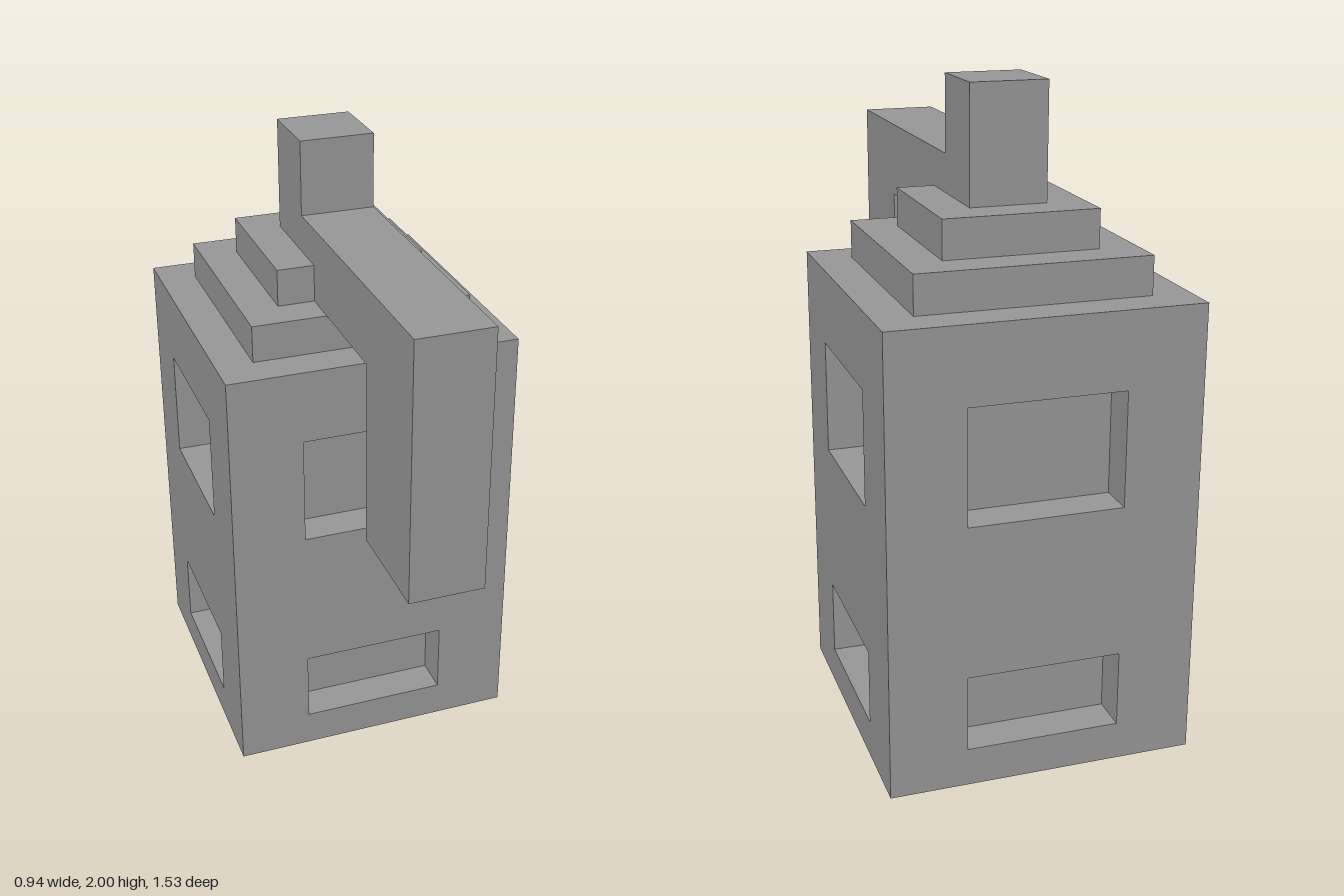
import * as THREE from 'three';
import { mergeGeometries } from 'three/addons/utils/BufferGeometryUtils.js';

const U = 2 / 17; // block size: the model is 17 blocks tall
const grey = new THREE.MeshStandardMaterial({ color: 0x999999 });
grey.name = 'grey';

// Flat face, turned and then moved into place
function plane(w, h, rx, ry, x, y, z) {
  return new THREE.PlaneGeometry(w, h).rotateX(rx).rotateY(ry).translate(x, y, z);
}

// One wall facing +z, with two recessed windows, one block deep
function wall() {
  const q = Math.PI / 2;
  const shape = new THREE.Shape([[-4, 0], [4, 0], [4, 12], [-4, 12]].map(p => new THREE.Vector2(...p)));
  const recesses = [];
  for (const [lo, hi] of [[1, 3], [7, 10]]) {
    const h = hi - lo, mid = (lo + hi) / 2;
    shape.holes.push(new THREE.Path([[-2, lo], [-2, hi], [2, hi], [2, lo]].map(p => new THREE.Vector2(...p))));
    recesses.push(
      plane(4, h, 0, 0, 0, mid, 3),        // back
      plane(4, 1, -q, 0, 0, lo, 3.5),      // sill
      plane(4, 1, q, 0, 0, hi, 3.5),       // lintel
      plane(1, h, 0, q, -2, mid, 3.5),     // jambs
      plane(1, h, 0, -q, 2, mid, 3.5));
  }
  return mergeGeometries([new THREE.ShapeGeometry(shape).translate(0, 0, 4), ...recesses]);
}

export function createModel() {
  const model = new THREE.Group();
  model.name = 'blockTower';
  const add = (name, geometry, z = 0) => {
    const mesh = new THREE.Mesh(geometry.translate(0, 0, z).scale(U, U, U), grey);
    mesh.name = name;
    model.add(mesh);
  };

  // Body: four windowed walls, top and base
  const faces = [0, 1, 2, 3].map(i => wall().rotateY(i * Math.PI / 2));
  faces.push(plane(8, 8, -Math.PI / 2, 0, 0, 12, 0), plane(8, 8, Math.PI / 2, 0, 0, 0, 0));
  add('body', mergeGeometries(faces), -2.5);

  // Stepped roof
  add('lowerRoofStep', new THREE.BoxGeometry(6, 1, 6).translate(0, 12.5, 0), -2.5);
  add('upperRoofStep', new THREE.BoxGeometry(4, 1, 4).translate(0, 13.5, 0), -2.5);

  // Post with an arm reaching forward and hanging down, as one side profile
  const profile = new THREE.Shape([
    [-3.5, 13], [3.5, 13], [3.5, 8], [6.5, 8], [6.5, 15], [-1.5, 15], [-1.5, 17], [-3.5, 17],
  ].map(p => new THREE.Vector2(...p)));
  const arm = new THREE.ExtrudeGeometry(profile, { depth: 2, bevelEnabled: false });
  add('postAndArm', arm.rotateY(-Math.PI / 2).translate(1, 0, 0));

  return model;
}
